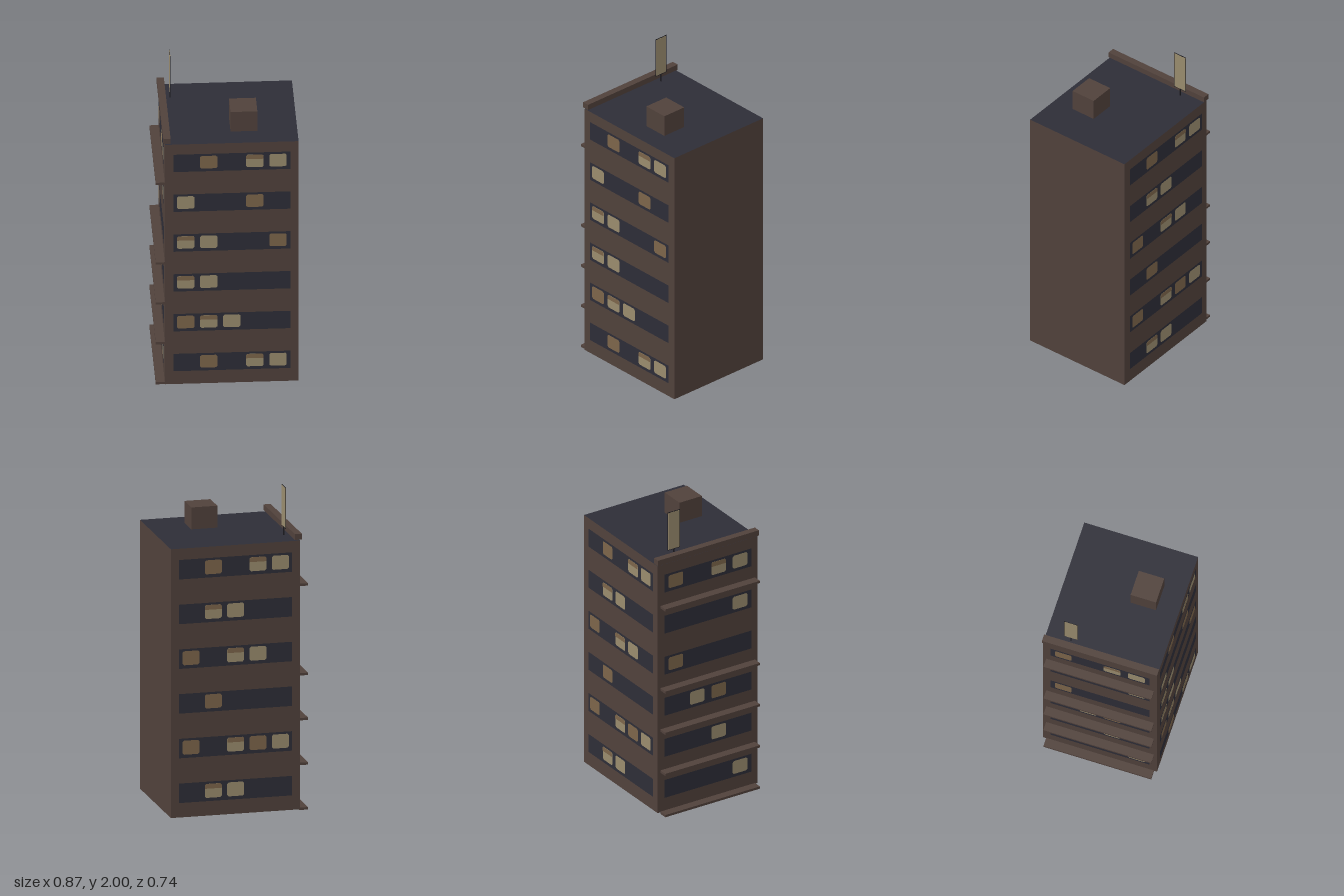
import * as THREE from 'three';

const mat = (name, color, side = THREE.FrontSide) => {
  const m = new THREE.MeshStandardMaterial({ color, side });
  m.name = name;
  return m;
};

export function createModel() {
  const brick = mat('brown brick', 0x50413b, THREE.DoubleSide);
  const slate = mat('dark slate', 0x2d2d37, THREE.DoubleSide);
  const tan = mat('lit window tan', 0x998b6d);
  const amber = mat('dim window amber', 0x7c654a);
  const dark = mat('near black trim', 0x1c1b20);

  const model = new THREE.Group();
  model.name = 'apartmentBuilding';

  const add = (parent, name, geometry, material, x, y, z) => {
    const mesh = new THREE.Mesh(geometry, material);
    mesh.name = name;
    mesh.position.set(x, y, z);
    parent.add(mesh);
    return mesh;
  };
  const box = (name, material, [x0, x1], [y0, y1], [z0, z1]) =>
    add(model, name, new THREE.BoxGeometry(x1 - x0, y1 - y0, z1 - z0), material,
      (x0 + x1) / 2, (y0 + y1) / 2, (z0 + z1) / 2);

  // Overall shell: four walls and a roof, open underneath
  const X0 = -0.38, X1 = 0.43, Y0 = 0.01, Y1 = 1.693, Z = 0.362;
  const W = X1 - X0, H = Y1 - Y0, CX = (X0 + X1) / 2, CY = (Y0 + Y1) / 2;

  // Lit window outline with clipped corners
  const w = 0.053, h = 0.044, c = 0.009;
  const pane = new THREE.ShapeGeometry(new THREE.Shape([
    [-w + c, -h], [w - c, -h], [w, -h + c], [w, h - c],
    [w - c, h], [-w + c, h], [-w, h - c], [-w, -h + c],
  ].map(([x, y]) => new THREE.Vector2(x, y))));
  const blind = new THREE.ShapeGeometry(new THREE.Shape([
    [-w, 0.014], [w, 0.014], [w, h - c], [w - c, h], [-w + c, h], [-w, h - c],
  ].map(([x, y]) => new THREE.Vector2(x, y))));

  // A wall facing local +z; rows run top to bottom, slots left to right.
  // T = bright, B = dim, H = bright with a lowered blind, . = unlit
  const wall = (name, width, x, z, turn, bandWidth, pitch, rows) => {
    const group = new THREE.Group();
    group.name = name;
    group.position.set(x, 0, z);
    group.rotation.y = turn;
    model.add(group);
    add(group, name + 'Surface', new THREE.PlaneGeometry(width, H), brick, 0, CY, 0);
    rows.forEach((row, r) => {
      const y = 1.562 - r * 0.28;
      add(group, 'windowBand', new THREE.PlaneGeometry(bandWidth, 0.122), slate, 0, y, 0.002);
      [...row].forEach((kind, i) => {
        if (kind === '.') return;
        const px = (i - (row.length - 1) / 2) * pitch;
        add(group, 'litWindow', pane, kind === 'B' ? amber : tan, px, y + 0.004, 0.004);
        if (kind === 'H') add(group, 'windowBlind', blind, amber, px, y + 0.004, 0.006);
      });
    });
  };

  wall('frontWall', W, CX, Z, 0, 0.71, 0.14,
    ['.B.HT', 'T..B.', 'HT..B', 'HT...', 'BHT..', '.B.HT']);
  wall('backWall', W, CX, -Z, Math.PI, 0.71, 0.14,
    ['.B.HT', '.HT..', 'B.HT.', '.B...', 'B.HBT', '.HT..']);
  wall('rightSideWall', 2 * Z, X0, 0, -Math.PI / 2, 0.63, 0.155,
    ['B.HT', '...T', 'B...', '.TB.', '..T.', '...T']);
  wall('leftSideWall', 2 * Z, X1, 0, Math.PI / 2, 0, 0, []);

  const roof = add(model, 'roof', new THREE.PlaneGeometry(W, 2 * Z), slate, CX, Y1, 0);
  roof.rotation.x = -Math.PI / 2;

  // Roof details
  box('roofHut', brick, [0.025, 0.188], [Y1, 1.83], [0.063, 0.225]);
  box('parapet', brick, [-0.39, -0.346], [1.7, 1.736], [-0.367, 0.365]);

  // Ledges between floors on the sign side
  for (const y of [0, 0.281, 0.561, 0.842, 1.402]) {
    box('ledge', brick, [-0.435, X0], [y, y + 0.015], [-0.343, 0.343]);
  }

  // Blank rooftop sign on a thin post
  box('signPost', dark, [-0.322, -0.316], [Y1, 1.745], [-0.208, -0.202]);
  box('signBorder', dark, [-0.32, -0.318], [1.742, 2], [-0.25, -0.16]);
  box('signPanel', tan, [-0.321, -0.317], [1.746, 1.996], [-0.246, -0.164]);

  return model;
}
